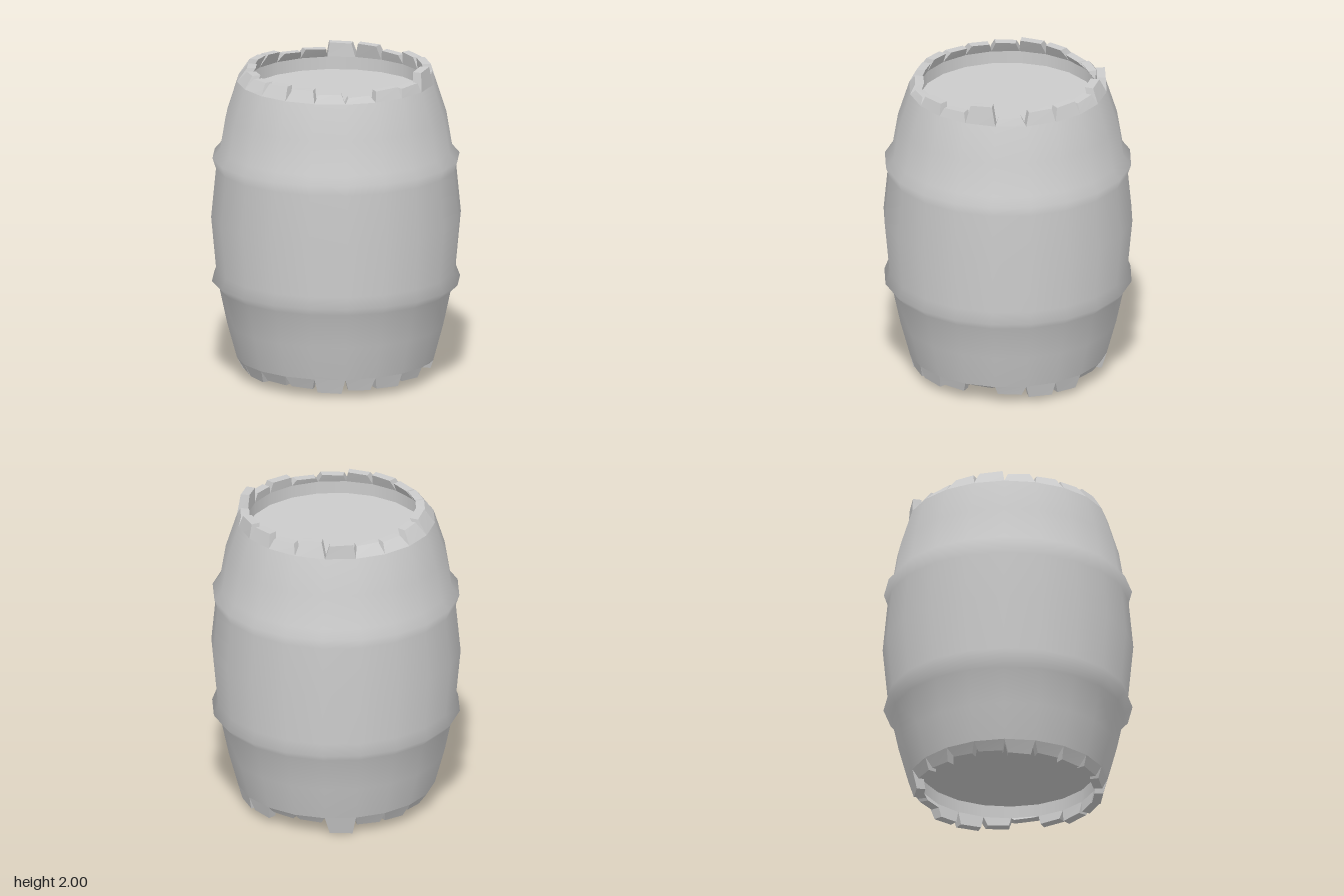
import * as THREE from 'three';

const SIDES = 20;
const STEP = (Math.PI * 2) / SIDES;
const mat = new THREE.MeshStandardMaterial({ color: 0xcccccc });
const thinMat = new THREE.MeshStandardMaterial({ color: 0xcccccc, side: THREE.DoubleSide });

// Rim levels and wall radii where the stave ends begin
const TOP = 1.88, BOTTOM = 0.12, OUTER = 0.615, INNER = 0.55;

// Heights of the stave ends, counted from the front towards the left (+x)
const topEnds = [1.95, 1.94, 2.0, 1.93, 1.965, 1.965, 1.945, 1.975, 1.97, 1.945,
  1.94, 1.965, 1.975, 1.96, 1.955, 1.95, 1.96, 1.955, 1.935, 1.92];
const bottomEnds = [0.04, 0.06, 0.105, 0.06, 0.035, 0.035, 0.08, 0.075, 0, 0.05,
  0.045, 0.06, 0.06, 0.04, 0.05, 0.04, 0.055, 0.05, 0.025, 0.04];

function part(name, geometry, material = mat) {
  const mesh = new THREE.Mesh(geometry, material);
  mesh.name = name;
  return mesh;
}

// One stave end: a box bent into its slice of the wall, narrowing to its tip
function staveEnd(name, i, baseY, tipY, tipRadius) {
  const geo = new THREE.BoxGeometry(1, 1, 1);
  const pos = geo.attributes.position;
  const up = tipY > baseY;
  const gapA = 0.025 + 0.02 * ((i * 7) % 3) / 2;
  const gapB = 0.025 + 0.02 * ((i * 5) % 4) / 3;
  for (let k = 0; k < pos.count; k++) {
    const tip = (pos.getY(k) > 0) === up;
    const right = pos.getX(k) > 0;
    const outer = pos.getZ(k) > 0;
    let angle = (i + (right ? 1 : 0)) * STEP;
    if (tip) angle += right ? -gapB : gapA;
    const r = tip ? tipRadius - (outer ? 0 : 0.055) : (outer ? OUTER : INNER);
    // tips are cut slightly askew
    const y = tip ? tipY + (right ? 0 : (up ? -0.006 : 0.006)) : baseY;
    pos.setXYZ(k, Math.sin(angle) * r, y, Math.cos(angle) * r);
  }
  geo.computeVertexNormals();
  return part(name, geo);
}

export function createModel() {
  const barrel = new THREE.Group();
  barrel.name = 'barrel';

  // Bulging body with two raised hoops
  const profile = [
    [OUTER, BOTTOM], [0.675, 0.34], [0.722, 0.56], [0.77, 0.61], [0.743, 0.68],
    [0.775, 1.02], [0.745, 1.33], [0.767, 1.395], [0.72, 1.45], [0.685, 1.66], [OUTER, TOP],
  ].map(([r, y]) => new THREE.Vector2(r, y));
  barrel.add(part('body', new THREE.LatheGeometry(profile, SIDES)));

  // Recessed lids and the inner walls around them
  for (const [name, rimY, lidY, turn] of [['top', TOP, 1.8, -1], ['bottom', BOTTOM, 0.2, 1]]) {
    const lid = new THREE.CircleGeometry(INNER, SIDES);
    lid.rotateX(turn * Math.PI / 2);
    lid.translate(0, lidY, 0);
    barrel.add(part(name + 'Lid', lid));

    const wall = new THREE.CylinderGeometry(INNER, INNER, Math.abs(rimY - lidY), SIDES, 1, true);
    wall.translate(0, (rimY + lidY) / 2, 0);
    barrel.add(part(name + 'InnerWall', wall, thinMat));
  }

  // Jagged stave ends on both rims
  const topStaves = new THREE.Group();
  topStaves.name = 'topStaveEnds';
  const bottomStaves = new THREE.Group();
  bottomStaves.name = 'bottomStaveEnds';
  for (let i = 0; i < SIDES; i++) {
    const lean = 0.022 * Math.cos((i + 0.5) * STEP - Math.PI / 4);
    const pushed = i === 8 ? 0.04 : 0;
    topStaves.add(staveEnd('topStaveEnd', i, TOP, topEnds[i], 0.573 + lean + pushed));
    bottomStaves.add(staveEnd('bottomStaveEnd', i, BOTTOM, bottomEnds[i], 0.585 + lean / 2));
  }
  barrel.add(topStaves, bottomStaves);
  return barrel;
}
